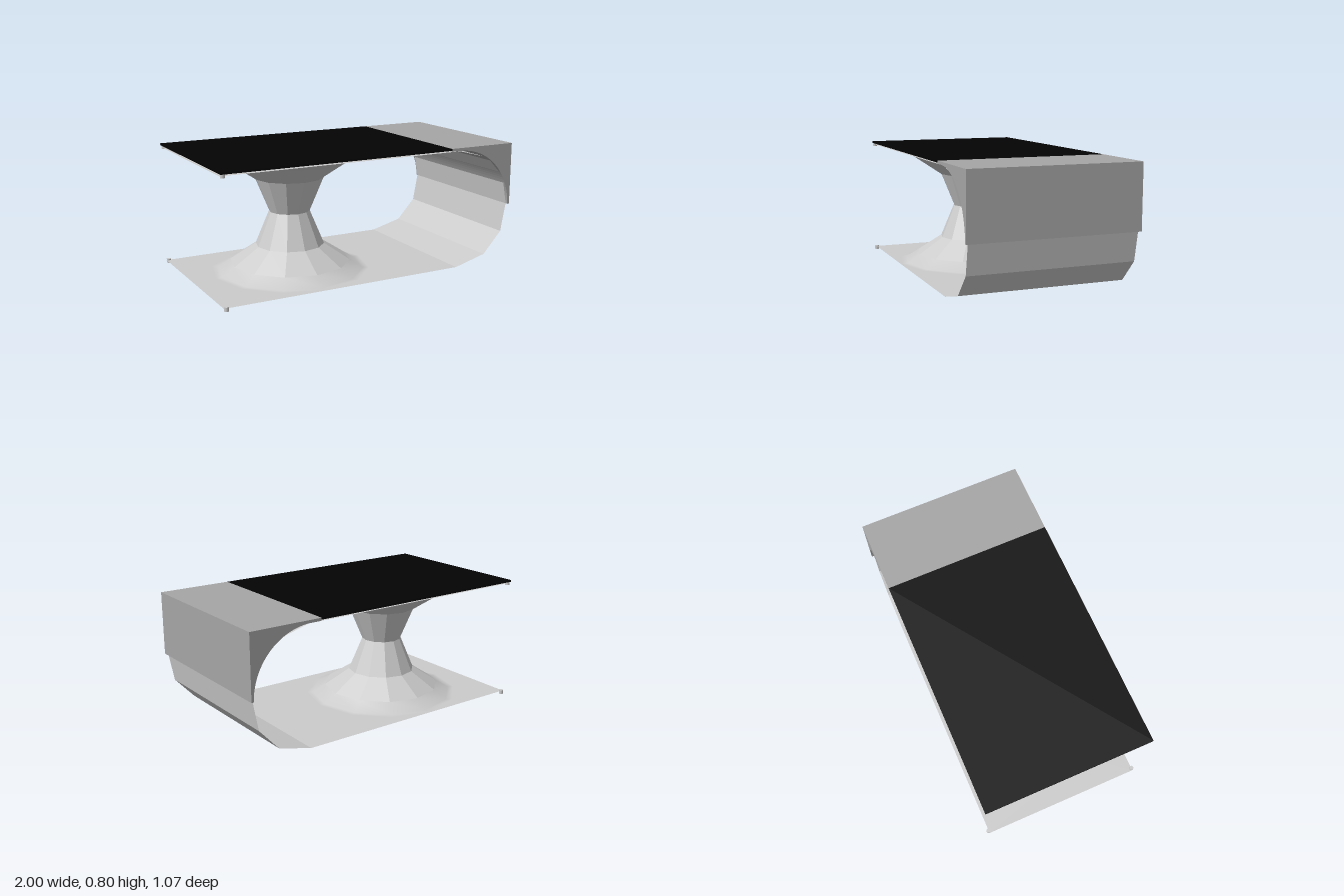
import * as THREE from 'three';

const MID = 0.397;      // height of the mirror plane between the two sheets
const HALF = 0.38;      // distance from that plane to each sheet
const CX = -0.34;       // funnel centre
const SIDES = 12;

export function createModel() {
  const model = new THREE.Group();
  const double = THREE.DoubleSide;
  const faceted = new THREE.MeshStandardMaterial({ color: 0xcccccc, flatShading: true, side: double });
  const smooth = new THREE.MeshStandardMaterial({ color: 0xcccccc, side: double });
  const black = new THREE.MeshStandardMaterial({ color: 0x030303 });
  const grey = new THREE.MeshStandardMaterial({ color: 0xa6a6a6 });

  const add = (name, geometry, material, x = 0, y = 0, z = 0) => {
    const mesh = new THREE.Mesh(geometry, material);
    mesh.name = name;
    mesh.position.set(x, y, z);
    model.add(mesh);
    return mesh;
  };

  // Black table top
  add('tableTop', new THREE.BoxGeometry(1.53, 0.012, 1.07), black, -0.235, 0.794, 0);

  // End block with a concave underside
  const block = new THREE.Shape();
  block.moveTo(0.53, 0.8);
  block.lineTo(0.53, 0.782);
  block.lineTo(0.6, 0.782);
  block.absarc(0.6, MID, 0.385, Math.PI / 2, 0, true);
  block.lineTo(1, MID);
  block.lineTo(1, 0.8);
  const blockGeo = new THREE.ExtrudeGeometry(block, { depth: 1.07, bevelEnabled: false, curveSegments: 16 });
  add('endBlock', blockGeo, grey, 0, 0, -0.535);

  // Thin curved sheet joining the lower and upper sheets
  const lower = [[0.6, -HALF], [0.82, -0.323], [0.95, -0.183], [0.985, 0]];
  const profile = [...lower, ...lower.slice(0, 3).reverse().map(([x, y]) => [x, -y])];
  const bend = new THREE.PlaneGeometry(1, 1.04, profile.length - 1, 1);
  const p = bend.attributes.position;
  for (let i = 0; i < p.count; i++) {
    const [x, y] = profile[i % profile.length];
    p.setXYZ(i, x, MID + y, p.getY(i));
  }
  bend.computeVertexNormals();
  add('curvedSheet', bend, faceted);

  // Flat sheet with a many-sided opening for the funnel
  const sheet = new THREE.Shape();
  sheet.moveTo(-1, -0.52);
  sheet.lineTo(0.6, -0.52);
  sheet.lineTo(0.6, 0.52);
  sheet.lineTo(-1, 0.52);
  sheet.closePath();
  const ring = [];
  for (let i = 0; i < SIDES; i++) {
    const a = (i / SIDES) * Math.PI * 2;
    ring.push(new THREE.Vector2(CX + 0.51 * Math.cos(a), 0.51 * Math.sin(a)));
  }
  sheet.holes.push(new THREE.Path(ring));
  const sheetGeo = new THREE.ShapeGeometry(sheet).rotateX(Math.PI / 2);

  const lathe = (points) => new THREE.LatheGeometry(points.map(([r, y]) => new THREE.Vector2(r, y)), SIDES);

  for (const s of [-1, 1]) {
    const level = s < 0 ? 'lower' : 'upper';
    add(level + 'Sheet', sheetGeo, faceted, 0, MID + s * HALF, 0);
    // Soft flare where the sheet turns into the funnel
    const flare = lathe([[0.51, s * HALF], [0.47, s * HALF], [0.385, s * 0.326]]);
    add(level + 'Flare', flare, smooth, CX, MID, 0);
  }

  // Faceted hourglass funnel
  const funnel = lathe([[0.385, -0.326], [0.22, -0.217], [0.13, 0], [0.22, 0.217], [0.385, 0.326]]);
  add('funnel', funnel, faceted, CX, MID, 0);

  // Small feet and corner spacers, and mounting studs under the top
  const foot = new THREE.CylinderGeometry(0.014, 0.014, 0.026, 12);
  const stud = new THREE.CylinderGeometry(0.014, 0.014, 0.01, 12);
  for (const z of [-0.52, 0.52]) {
    add('foot', foot, smooth, -0.984, 0.013, z);
    add('cornerSpacer', foot, smooth, -0.984, 0.78, z);
    for (const x of [-0.9, 0.43]) add('topStud', stud, smooth, x, 0.785, z * 0.85);
  }
  return model;
}
